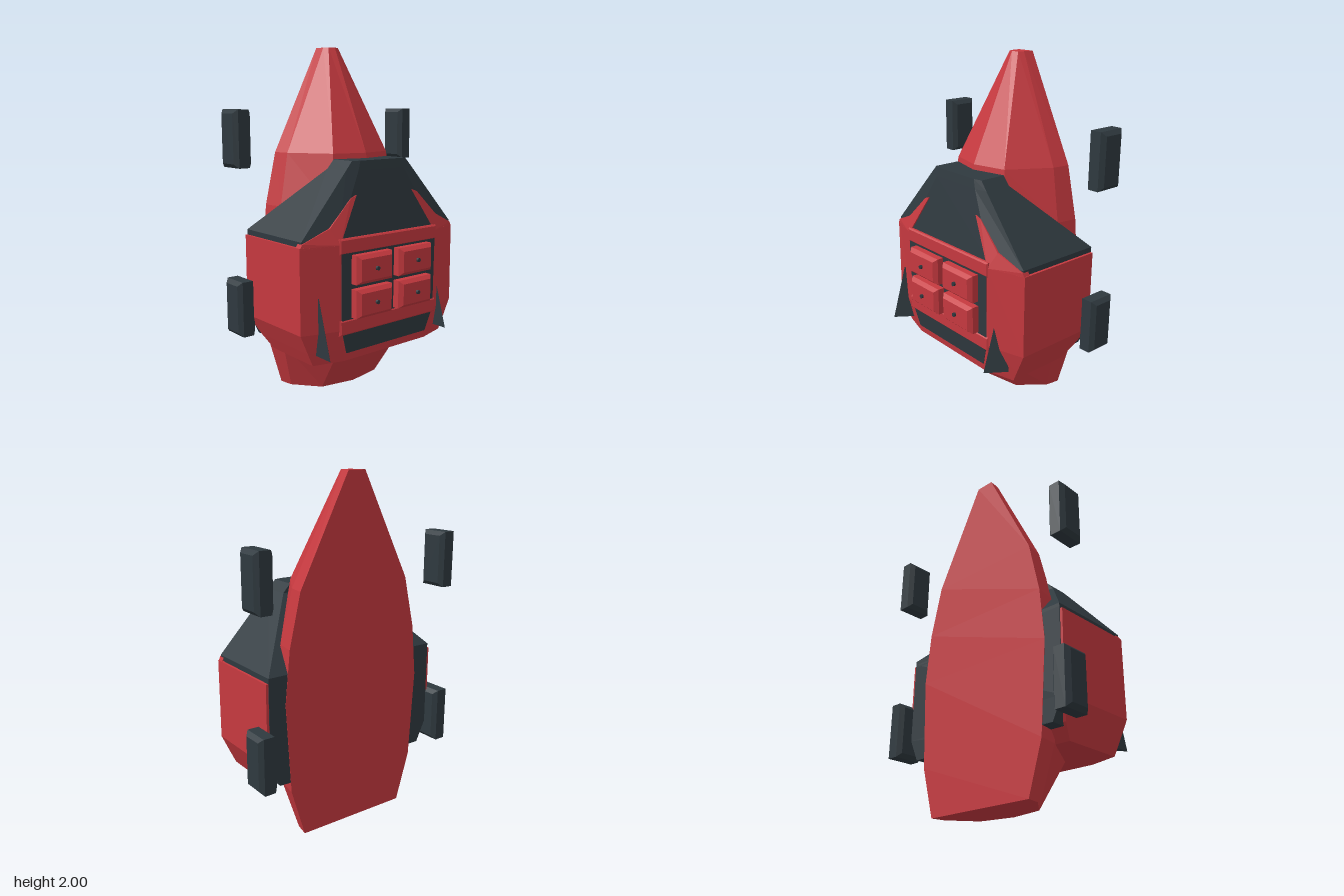
import * as THREE from 'three';

const red = new THREE.MeshStandardMaterial({ color: 0xc6393f });
red.name = 'red paint';
const dark = new THREE.MeshStandardMaterial({ color: 0x2f393f });
dark.name = 'dark slate';

// Closed faceted solid through equal-length rings of [x, y, z] points
function loft(rings) {
  const pos = [], n = rings[0].length, last = rings[rings.length - 1];
  let volume = 0;
  const tri = (a, b, c) => {
    pos.push(...a, ...b, ...c);
    volume += new THREE.Vector3(...a).dot(new THREE.Vector3(...b).cross(new THREE.Vector3(...c)));
  };
  for (let i = 0; i < rings.length - 1; i++) {
    for (let j = 0; j < n; j++) {
      const k = (j + 1) % n, a = rings[i], b = rings[i + 1];
      tri(a[j], a[k], b[k]);
      tri(a[j], b[k], b[j]);
    }
  }
  for (let k = 1; k < n - 1; k++) {
    tri(rings[0][0], rings[0][k + 1], rings[0][k]);
    tri(last[0], last[k], last[k + 1]);
  }
  // Turn every face outwards
  if (volume < 0) {
    for (let i = 0; i < pos.length; i += 9) {
      for (let c = 0; c < 3; c++) [pos[i + 3 + c], pos[i + 6 + c]] = [pos[i + 6 + c], pos[i + 3 + c]];
    }
  }
  const g = new THREE.BufferGeometry();
  g.setAttribute('position', new THREE.Float32BufferAttribute(pos, 3));
  g.computeVertexNormals();
  return g;
}

// Mirrored horizontal ring: half is a list of [x, z] from back to front
function ring(y, half) {
  const left = half.map(([x, z]) => [x, y, z]);
  const right = half.filter(([x]) => x > 0).map(([x, z]) => [-x, y, z]).reverse();
  return [...left, ...right];
}

// Rectangle ring in the xy plane at depth z
const rect = (w, h, z) => [[-w, -h, z], [w, -h, z], [w, h, z], [-w, h, z]];

export function createModel() {
  const model = new THREE.Group();
  model.name = 'model';
  const add = (name, geometry, material, x = 0, y = 0, z = 0) => {
    const mesh = new THREE.Mesh(geometry, material);
    mesh.name = name;
    mesh.position.set(x, y, z);
    model.add(mesh);
    return mesh;
  };

  // Long faceted hull with a flat back
  const B = -0.292;
  add('hull', loft([
    ring(0, [[0.345, B], [0.33, -0.21], [0.21, -0.06], [0, -0.02]]),
    ring(0.285, [[0.43, B], [0.41, -0.17], [0.235, 0.13], [0, 0.18]]),
    ring(0.8, [[0.46, B], [0.44, -0.17], [0.25, 0.14], [0, 0.2]]),
    ring(1.1, [[0.43, B], [0.41, -0.17], [0.24, 0.08], [0, 0.14]]),
    ring(1.4, [[0.36, B], [0.345, -0.19], [0.2, 0.045], [0, 0.095]]),
    ring(2, [[0.055, B], [0.05, -0.23], [0.035, -0.2], [0, -0.185]]),
  ]), red);

  // Red outer shell
  add('shell', loft([
    ring(0.285, [[0.49, -0.15], [0.49, 0.225], [0.31, 0.275]]),
    ring(0.36, [[0.525, -0.22], [0.525, 0.23], [0.33, 0.287]]),
    ring(0.47, [[0.575, -0.286], [0.575, 0.235], [0.36, 0.3]]),
    ring(0.94, [[0.575, -0.286], [0.575, 0.235], [0.36, 0.305]]),
  ]), red);

  // Dark core showing at the back of the shell
  add('core', loft([
    ring(0.345, [[0.5, -0.29], [0.5, 0.1]]),
    ring(0.47, [[0.56, -0.29], [0.56, 0.1]]),
    ring(0.95, [[0.56, -0.29], [0.56, 0.1]]),
  ]), dark);

  // Sloping dark canopy
  add('canopy', loft([
    ring(0.93, [[0.56, -0.29], [0.56, 0.23], [0.36, 0.297]]),
    ring(0.97, [[0.56, -0.29], [0.56, 0.23], [0.36, 0.29]]),
    ring(1.32, [[0.245, 0.05], [0.245, 0.212], [0.17, 0.229]]),
    ring(1.37, [[0.2, 0.05], [0.2, 0.208], [0.15, 0.22]]),
  ]), dark);

  // Pointed red fenders reaching up the canopy
  for (const s of [1, -1]) {
    const front = [[0.36, 0.94, 0.305], [0.21, 1.19, 0.259], [0.25, 1.175, 0.258],
      [0.4, 1.03, 0.268], [0.56, 0.96, 0.238], [0.575, 0.93, 0.235]].map(([x, y, z]) => [s * x, y, z]);
    const back = front.map(([x, y, z]) => [x, y, z - 0.04]);
    add(s > 0 ? 'leftFender' : 'rightFender', loft([front, back]), red);
  }

  // Dark recessed front panel
  add('frontPanel', loft([
    ring(0.33, [[0.305, 0.277], [0.305, 0.285]]),
    ring(0.47, [[0.35, 0.297], [0.35, 0.303]]),
    ring(0.96, [[0.355, 0.301], [0.355, 0.308]]),
  ]), dark);

  // Red bars above and below the drawers
  const bar = loft([rect(0.365, 0.042, 0), rect(0.365, 0.042, 0.025), rect(0.357, 0.034, 0.033)]);
  add('upperBar', bar, red, 0, 0.93, 0.278);
  add('lowerBar', bar, red, 0, 0.484, 0.276);

  // Four bevelled drawers with small knobs
  const drawer = loft([
    rect(0.13, 0.08, 0), rect(0.13, 0.08, 0.045), rect(0.108, 0.06, 0.067),
  ]);
  const knob = new THREE.CylinderGeometry(0.012, 0.012, 0.02, 8).rotateX(Math.PI / 2);
  for (const x of [-0.155, 0.155]) {
    for (const y of [0.8, 0.612]) {
      add('drawer', drawer, red, x, y, 0.3);
      add('drawerKnob', knob, dark, x, y, 0.37);
    }
  }

  // Sharp fins low on the front
  const fin = loft([
    [[0, 0, 0.365], [0.08, 0, 0.25], [0, 0, 0.2]],
    [[0, 0.32, 0.27], [0.008, 0.31, 0.262], [0, 0.31, 0.22]],
  ]);
  add('rightFin', fin, dark, -0.48, 0.345, 0);
  add('leftFin', fin, dark, 0.398, 0.345, 0);

  // Floating side pods, chamfered towards their inner and outer faces
  const pod = loft([
    rect(0.058, 0.137, -0.055), rect(0.082, 0.16, -0.033),
    rect(0.082, 0.16, 0.033), rect(0.058, 0.137, 0.055),
  ]).rotateY(Math.PI / 2);
  for (const x of [-0.615, 0.615]) {
    for (const y of [0.525, 1.485]) add('sidePod', pod, dark, x, y, -0.293);
  }

  return model;
}
